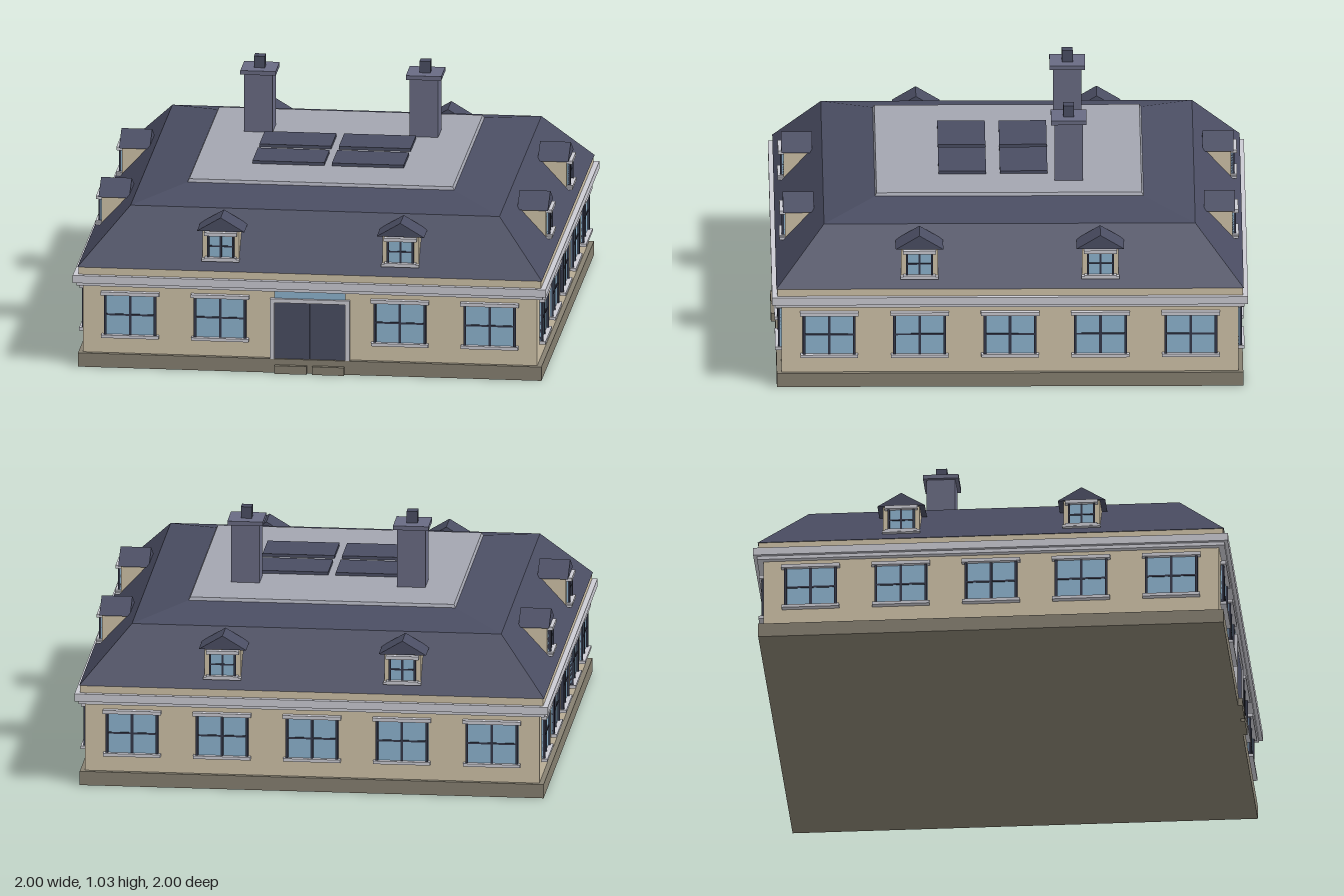
import * as THREE from 'three';

const mat = (name, color) => {
  const m = new THREE.MeshStandardMaterial({ color });
  m.name = name;
  return m;
};

export function createModel() {
  const wall = mat('sandstone', 0xcfc2a8);
  const trim = mat('pale trim', 0xcbcbd3);
  const stone = mat('plinth stone', 0x868071);
  const slate = mat('slate', 0x4a4d62);
  const deckGrey = mat('deck grey', 0xa3a5b0);
  const brick = mat('chimney brick', 0x696b83);
  const glass = mat('window glass', 0x8db4cf);
  const frame = mat('dark frame', 0x343849);

  const model = new THREE.Group();
  model.name = 'mansion';

  const add = (parent, name, geo, material) => {
    const m = new THREE.Mesh(geo, material);
    m.name = name;
    parent.add(m);
    return m;
  };
  // Box given by its minimum and maximum on each axis
  const box = (parent, name, material, x0, x1, y0, y1, z0, z1) => {
    const m = add(parent, name, new THREE.BoxGeometry(x1 - x0, y1 - y0, z1 - z0), material);
    m.position.set((x0 + x1) / 2, (y0 + y1) / 2, (z0 + z1) / 2);
    return m;
  };
  const slab = (name, material, half, y0, y1) =>
    box(model, name, material, -half, half, y0, y1, -half, half);
  // Square frustum with flat faces
  const frustum = (name, material, bottom, top, y0, y1) => {
    const g = new THREE.CylinderGeometry(top * Math.SQRT2, bottom * Math.SQRT2, y1 - y0, 4)
      .rotateY(Math.PI / 4).toNonIndexed();
    g.computeVertexNormals();
    add(model, name, g, material).position.y = (y0 + y1) / 2;
  };

  // Main stacked body
  slab('plinth', stone, 0.98, 0, 0.06);
  slab('walls', wall, 0.96, 0.06, 0.36);
  slab('lowerCornice', trim, 0.985, 0.355, 0.37);
  slab('cornice', trim, 1, 0.37, 0.403);
  slab('parapet', wall, 0.978, 0.403, 0.435);
  frustum('lowerRoof', slate, 0.982, 0.78, 0.435, 0.655);
  frustum('upperRoof', slate, 0.78, 0.56, 0.655, 0.703);
  frustum('roofDeck', deckGrey, 0.565, 0.557, 0.7, 0.715);

  // Cross-barred window facing +z, standing on the plane z
  const addWindow = (parent, x, z, w, y0, y1, bar) => {
    const g = new THREE.Group();
    g.name = 'window';
    g.position.set(x, 0, z);
    parent.add(g);
    const h = w / 2, yc = (y0 + y1) / 2;
    box(g, 'pane', glass, -h, h, y0, y1, -0.002, 0.006);
    box(g, 'mullion', frame, -bar / 2, bar / 2, y0, y1, 0, 0.011);
    box(g, 'transomBar', frame, -h, h, yc - bar / 3, yc + bar / 3, 0, 0.01);
    for (const s of [-1, 1]) {
      const xc = s * (h - bar / 2);
      box(g, 'jamb', frame, xc - bar / 2, xc + bar / 2, y0, y1, 0, 0.015);
    }
    box(g, 'lintel', trim, -h - 0.012, h + 0.012, y1, y1 + 0.015, 0, 0.024);
    box(g, 'sill', trim, -h - 0.01, h + 0.01, y0 - 0.013, y0, 0, 0.026);
  };

  // Dormer with a gable roof
  const gable = new THREE.Shape([
    new THREE.Vector2(-0.1, 0.6), new THREE.Vector2(0.1, 0.6), new THREE.Vector2(0, 0.66),
  ]);
  const gableGeo = new THREE.ExtrudeGeometry(gable, { depth: 0.13, bevelEnabled: false });
  const addDormer = (parent, x) => {
    const g = new THREE.Group();
    g.name = 'dormer';
    g.position.x = x;
    parent.add(g);
    box(g, 'dormerBody', wall, -0.077, 0.077, 0.47, 0.605, 0.8, 0.94);
    add(g, 'dormerRoof', gableGeo, slate).position.z = 0.82;
    addWindow(g, 0, 0.94, 0.114, 0.488, 0.582, 0.009);
    box(g, 'dormerSill', trim, -0.08, 0.08, 0.472, 0.482, 0.93, 0.965);
  };

  // Four facades; the front keeps its middle bay for the entrance
  ['front', 'left', 'back', 'right'].forEach((name, i) => {
    const side = new THREE.Group();
    side.name = name + 'Facade';
    side.rotation.y = i * Math.PI / 2;
    model.add(side);
    for (const x of [-0.76, -0.38, 0, 0.38, 0.76]) {
      if (i === 0 && x === 0) continue;
      addWindow(side, x, 0.96, 0.222, 0.143, 0.315, 0.011);
    }
    for (const x of [-0.38, 0.38]) addDormer(side, x);
  });

  // Entrance: two leaves, surround, fanlight and steps
  for (const s of [-1, 1]) {
    const span = (a, b) => (s > 0 ? [a, b] : [-b, -a]);
    box(model, 'doorLeaf', slate, ...span(0.001, 0.15), 0.06, 0.305, 0.95, 0.972);
    box(model, 'doorPost', trim, ...span(0.15, 0.168), 0.06, 0.322, 0.95, 0.98);
    box(model, 'step', stone, ...span(0.012, 0.147), 0, 0.035, 0.97, 0.998);
  }
  box(model, 'doorHead', trim, -0.15, 0.15, 0.305, 0.322, 0.95, 0.98);
  box(model, 'fanlight', glass, -0.15, 0.15, 0.322, 0.352, 0.958, 0.967);

  // Chimneys and roof panels
  for (const s of [-1, 1]) {
    const g = new THREE.Group();
    g.name = 'chimney';
    g.position.set(s * 0.35, 0, -0.252);
    model.add(g);
    box(g, 'stack', brick, -0.06, 0.06, 0.7, 0.97, -0.06, 0.06);
    box(g, 'cap', brick, -0.075, 0.075, 0.967, 0.985, -0.075, 0.075);
    box(g, 'pot', slate, -0.023, 0.023, 0.985, 1.035, -0.023, 0.023);
    for (const z of [-0.063, 0.195]) {
      const x = s * 0.168;
      box(model, 'roofPanel', slate, x - 0.152, x + 0.152, 0.712, 0.728, z - 0.1, z + 0.1);
    }
  }
  return model;
}
